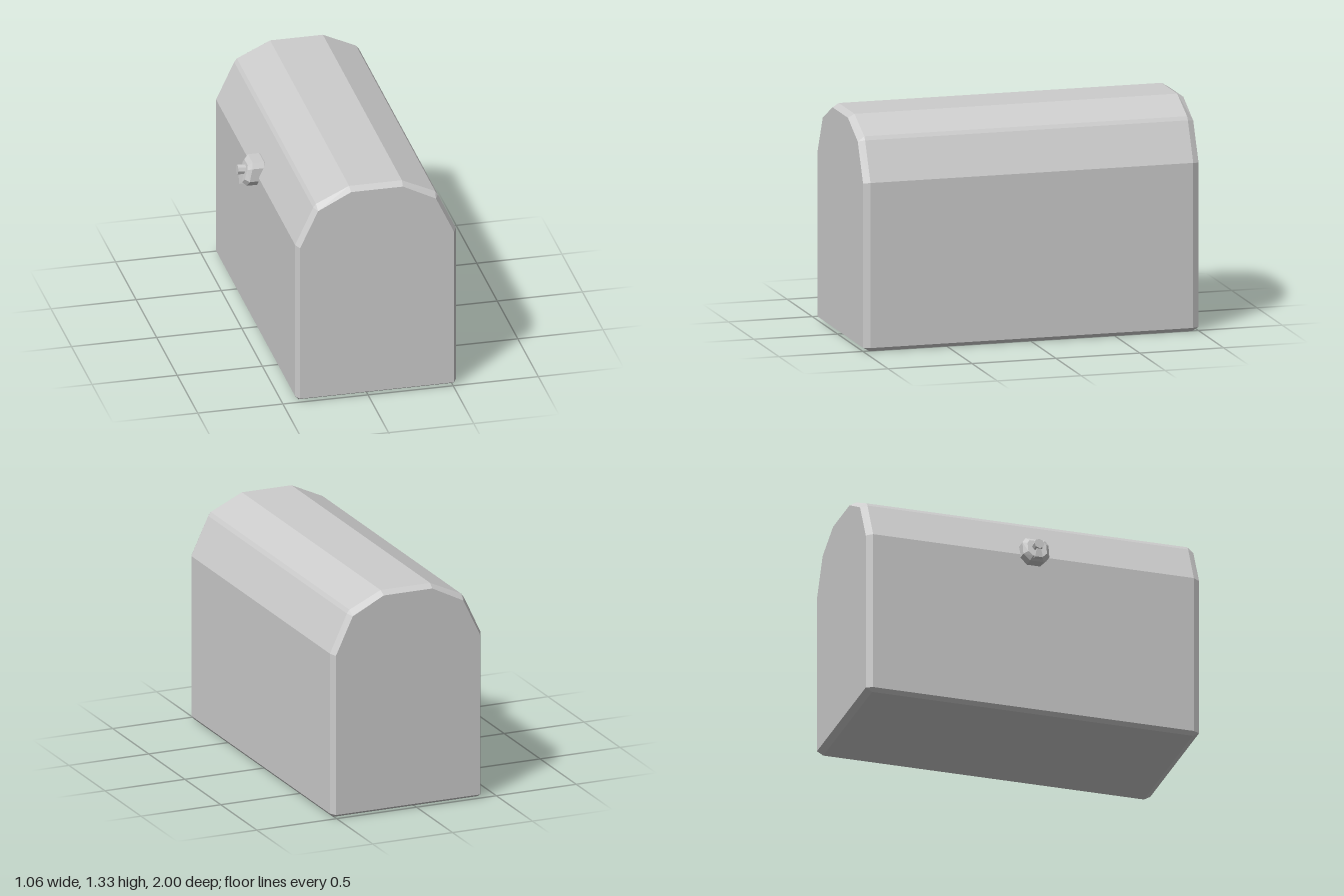
import * as THREE from 'three';

// Skin a list of convex rings (counter-clockwise seen from the last ring's side), capped at both ends
function loft(rings) {
  const pos = [];
  const n = rings[0].length;
  const tri = (...pts) => pts.forEach((p) => pos.push(...p));
  for (let i = 0; i < rings.length - 1; i++) {
    for (let j = 0; j < n; j++) {
      const k = (j + 1) % n;
      const a = rings[i][j], b = rings[i][k], c = rings[i + 1][k], d = rings[i + 1][j];
      tri(a, b, c);
      tri(a, c, d);
    }
  }
  const first = rings[0], last = rings[rings.length - 1];
  for (let j = 1; j < n - 1; j++) {
    tri(first[0], first[j + 1], first[j]);
    tri(last[0], last[j], last[j + 1]);
  }
  const g = new THREE.BufferGeometry();
  g.setAttribute('position', new THREE.Float32BufferAttribute(pos, 3));
  g.computeVertexNormals();
  return g;
}

export function createModel() {
  const root = new THREE.Group();
  const grey = new THREE.MeshStandardMaterial({ color: 0xcccccc });
  grey.name = 'grey';
  const add = (geo, name, parent = root) => {
    const m = new THREE.Mesh(geo, grey);
    m.name = name;
    parent.add(m);
    return m;
  };

  // Chest with domed lid: half outlines mirrored about the chest's own centre line
  const cx = 0.053;
  const outline = (half) => [
    ...half.map(([x, y]) => [cx + x, y]),
    ...half.slice().reverse().map(([x, y]) => [cx - x, y]),
  ];
  const full = outline([[0.452, 0], [0.472, 0.022], [0.472, 0.985], [0.366, 1.212], [0.35, 1.233], [0.155, 1.325]]);
  const inset = outline([[0.452, 0.022], [0.452, 0.022], [0.452, 0.98], [0.346, 1.204], [0.346, 1.204], [0.152, 1.303]]);
  const at = (pts, z) => pts.map(([x, y]) => [x, y, z]);
  add(loft([at(inset, -1), at(full, -0.962), at(full, 0.962), at(inset, 1)]), 'chest');

  // Lock on the side, growing outwards toward -x
  const lock = new THREE.Group();
  lock.name = 'lock';
  root.add(lock);
  const shield = [[0.04, 0.925], [0.078, 0.965], [0.078, 1.045], [0.058, 1.076]];
  const shieldRing = (x, s, lean) => [
    ...shield,
    ...shield.slice().reverse().map(([z, y]) => [-z, y]),
  ].map(([z, y]) => [x - lean * (1.076 - y), 1 + (y - 1) * s, z * s]);
  add(loft([
    shieldRing(-0.365, 0.9, 0),
    shieldRing(-0.385, 1, 0),
    shieldRing(-0.45, 1, 0.2),
    shieldRing(-0.475, 0.72, 0.2),
  ]), 'lockPlate', lock);

  // Raised keyhole: round boss with a flared tab under it
  const boss = new THREE.CylinderGeometry(0.03, 0.03, 0.05, 8).toNonIndexed();
  boss.computeVertexNormals();
  const knob = add(boss, 'keyholeBoss', lock);
  knob.rotation.z = Math.PI / 2 - 0.08;
  knob.position.set(-0.503, 1.014, 0);
  const tab = (x) => [[x, 0.935, -0.024], [x, 0.935, 0.024], [x, 0.99, 0.012], [x, 0.99, -0.012]];
  add(loft([tab(-0.48), tab(-0.522)]), 'keyholeTab', lock);

  return root;
}
